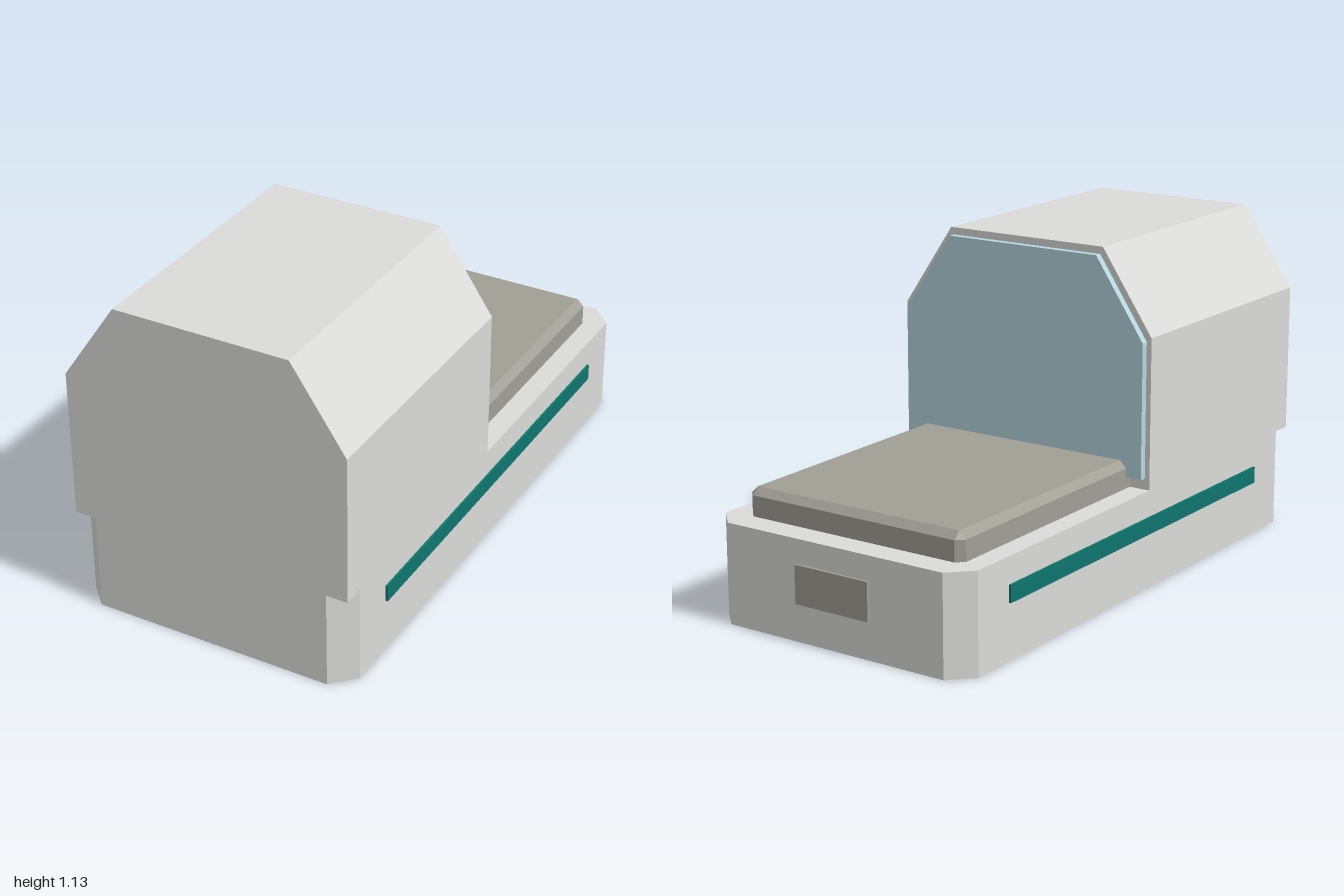
import * as THREE from 'three';
import { ConvexGeometry } from 'three/addons/geometries/ConvexGeometry.js';

const material = (name, color) => {
  const m = new THREE.MeshStandardMaterial({ color });
  m.name = name;
  return m;
};

// Prism along +z from a list of [x, y] corners
function prism(corners, depth) {
  const shape = new THREE.Shape(corners.map(([x, y]) => new THREE.Vector2(x, y)));
  return new THREE.ExtrudeGeometry(shape, { depth, bevelEnabled: false });
}

// Upright outline with sloped shoulders, symmetric about x = 0
const hoodOutline = (half, topHalf, bottom, shoulder, top) => [
  [-half, bottom], [half, bottom], [half, shoulder],
  [topHalf, top], [-topHalf, top], [-half, shoulder],
];

export function createModel() {
  const group = new THREE.Group();
  const shell = material('light grey shell', 0xdbdbd9);
  const pad = material('warm grey pad', 0xa09f96);
  const teal = material('teal trim', 0x0f766e);
  const glass = material('pale blue glass', 0xb7d7e0);

  const add = (name, geometry, mat, x = 0, y = 0, z = 0) => {
    const mesh = new THREE.Mesh(geometry, mat);
    mesh.name = name;
    mesh.position.set(x, y, z);
    group.add(mesh);
    return mesh;
  };

  // Base: rectangle with cut corners, extruded upwards (shape y becomes -z)
  const w = 0.495, c = 0.075, front = -1, back = 0.99;
  const plan = [
    [-w + c, front], [w - c, front], [w, front + c], [w, back - c],
    [w - c, back], [-w + c, back], [-w, back - c], [-w, front + c],
  ];
  const base = prism(plan, 0.34);
  base.rotateX(-Math.PI / 2);
  add('base', base, shell);

  // Hood over the front half, with the pane on its rear face
  add('hood', prism(hoodOutline(w, 0.305, 0.34, 0.855, 1.135), 0.945), shell, 0, 0, 0.055);
  add('windowPane', prism(hoodOutline(0.477, 0.295, 0.378, 0.84, 1.11), 0.025), glass, 0, 0, 0.03);

  // Pad with chamfered edges and corners
  const points = [];
  const px = 0.42, zBack = -0.895, zFront = 0.055, b = 0.025;
  for (const s of [-1, 1]) {
    for (const y of [0.34, 0.41]) {
      points.push(
        new THREE.Vector3(s * px, y, zFront),
        new THREE.Vector3(s * px, y, zBack + b),
        new THREE.Vector3(s * (px - b), y, zBack),
      );
    }
    points.push(
      new THREE.Vector3(s * (px - b), 0.434, zFront),
      new THREE.Vector3(s * (px - b), 0.434, zBack + b),
    );
  }
  add('pad', new ConvexGeometry(points), pad);

  // Side trim strips and rear plate
  for (const s of [-1, 1]) {
    add(s > 0 ? 'leftTrim' : 'rightTrim', new THREE.BoxGeometry(0.009, 0.058, 1.514), teal, s * 0.4985, 0.22, 0.003);
  }
  add('rearPlate', new THREE.BoxGeometry(0.285, 0.13, 0.0095), pad, 0, 0.193, -0.99525);

  return group;
}
